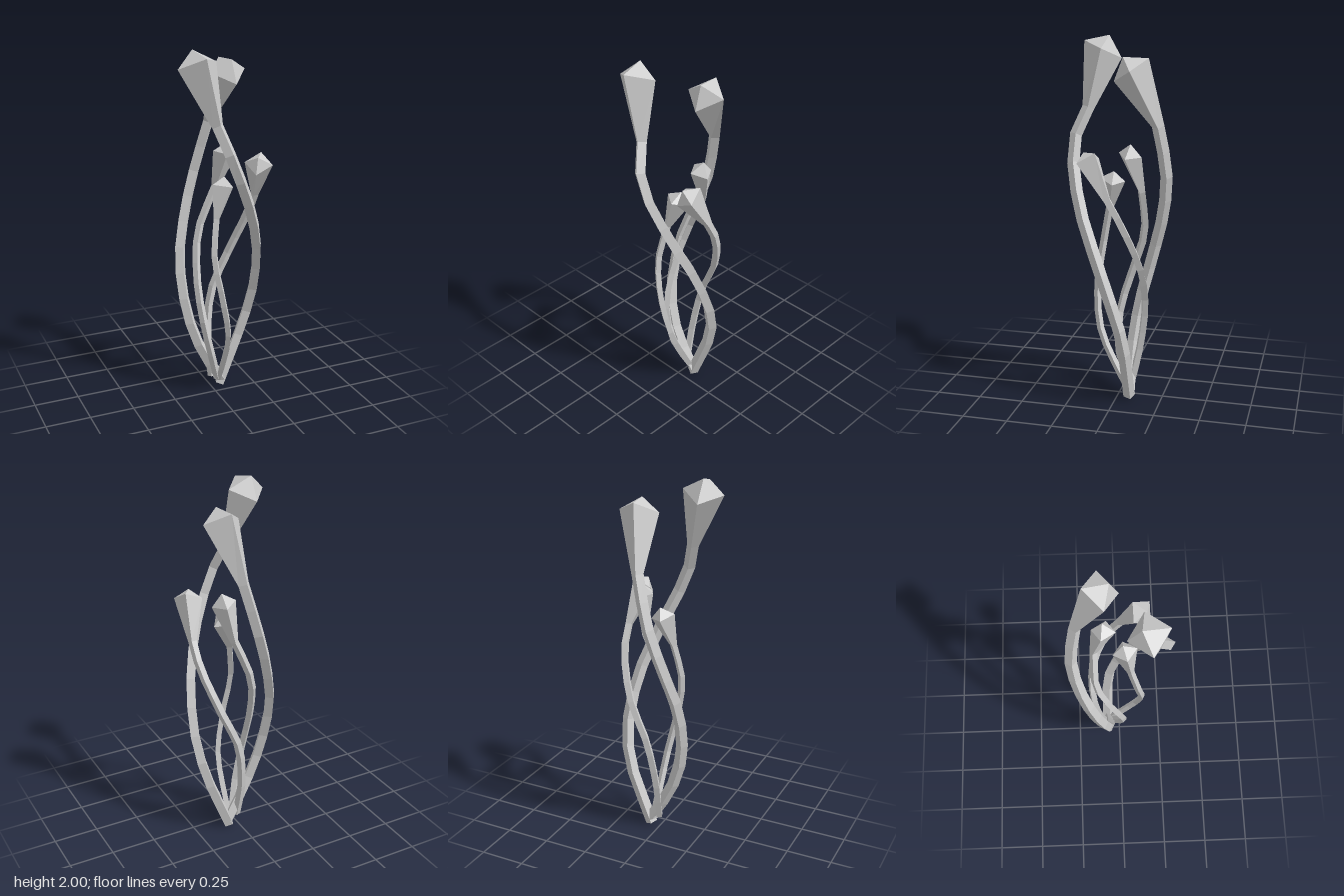
import * as THREE from 'three';

const V = (p) => new THREE.Vector3(...p);
const ROOT_Z = -0.07;

// Each stalk: root [x, y], stem points up to the bulb neck, bulb ring centre, bulb tip,
// compass angle of one bulb corner, stem and bulb radii.
const STALKS = [
  {
    name: 'tallFrontStalk', stem: 0.033, bulb: 0.112, heading: -0.1,
    center: [-0.155, 1.925, 0.128], tip: [-0.168, 2.0, 0.095], root: [0.055, 0.015],
    path: [[0.2, 0.4, -0.06], [0.232, 0.62, -0.005], [0.2, 0.9, 0.1],
      [0.115, 1.15, 0.2], [-0.01, 1.44, 0.254], [-0.07, 1.62, 0.19]],
  },
  {
    name: 'tallBackStalk', stem: 0.033, bulb: 0.108, heading: -0.15,
    center: [0.106, 1.845, -0.088], tip: [0.111, 1.91, -0.045], root: [0.065, 0.04],
    path: [[-0.06, 0.25, -0.06], [-0.14, 0.5, -0.085], [-0.15, 0.8, -0.16],
      [-0.09, 1.05, -0.225], [-0.02, 1.28, -0.254], [0.05, 1.55, -0.22]],
  },
  {
    name: 'leftStalk', stem: 0.023, bulb: 0.076, heading: 0.66,
    center: [0.195, 1.38, 0.122], tip: [0.178, 1.42, 0.15], root: [0.005, 0.07],
    path: [[0, 0.3, -0.12], [0.04, 0.57, -0.155], [0.14, 0.8, -0.145],
      [0.22, 1.05, -0.06], [0.228, 1.18, 0.01]],
  },
  {
    name: 'middleBackStalk', stem: 0.022, bulb: 0.066, heading: 0.2,
    center: [0.088, 1.4, -0.08], tip: [0.103, 1.46, -0.085], root: [0.04, 0.05],
    path: [[-0.03, 0.25, 0.01], [-0.08, 0.47, 0.015], [-0.09, 0.7, -0.05],
      [-0.05, 0.95, -0.13], [0.055, 1.2, -0.135]],
  },
  {
    name: 'shortStalk', stem: 0.02, bulb: 0.068, heading: -0.21,
    center: [0.03, 1.25, 0.03], tip: [0.042, 1.3, 0.02], root: [0.045, 0.04],
    path: [[0.045, 0.2, 0.015], [0.035, 0.4, 0.1], [-0.015, 0.65, 0.127],
      [-0.05, 0.87, 0.103], [-0.02, 1.08, 0.06]],
  },
];

// Square section swept along the stem, flaring into a bulb with a pyramid tip
function stalkGeometry({ root, path, center, tip, heading, stem, bulb }) {
  const STEPS = 11;
  const curve = new THREE.CatmullRomCurve3([[...root, ROOT_Z], ...path].map(V));
  const rings = [];
  for (let i = 0; i <= STEPS; i++) {
    rings.push({ p: curve.getPointAt(i / STEPS), t: curve.getTangentAt(i / STEPS), r: stem });
  }
  rings.push({ p: V(center), t: V(tip).sub(V(center)).normalize(), r: bulb });

  // carry the corner direction down from the bulb so the section does not twist
  const u = new THREE.Vector3(Math.cos(heading), 0, Math.sin(heading));
  for (let i = rings.length - 1; i >= 0; i--) {
    u.addScaledVector(rings[i].t, -u.dot(rings[i].t)).normalize();
    rings[i].u = u.clone();
  }

  const pos = [];
  const index = [];
  for (const { p, t, u: a, r } of rings) {
    const b = new THREE.Vector3().crossVectors(t, a);
    for (let k = 0; k < 4; k++) {
      const angle = (k * Math.PI) / 2;
      const c = p.clone().addScaledVector(a, r * Math.cos(angle)).addScaledVector(b, r * Math.sin(angle));
      pos.push(c.x, c.y, c.z);
    }
  }
  const last = (rings.length - 1) * 4;
  pos.push(...tip);
  for (let k = 0; k < 4; k++) {
    const n = (k + 1) % 4;
    for (let o = 0; o < last; o += 4) {
      index.push(o + k, o + n, o + 4 + n, o + k, o + 4 + n, o + 4 + k);
    }
    index.push(last + k, last + n, last + 4); // bulb tip
  }
  index.push(0, 2, 1, 0, 3, 2); // root cap

  const geometry = new THREE.BufferGeometry();
  geometry.setAttribute('position', new THREE.Float32BufferAttribute(pos, 3));
  geometry.setIndex(index);
  const flat = geometry.toNonIndexed();
  flat.computeVertexNormals();
  return flat;
}

export function createModel() {
  const group = new THREE.Group();
  group.name = 'twistedStalks';
  const material = new THREE.MeshStandardMaterial({ color: 0xcccccc, flatShading: true });
  for (const stalk of STALKS) {
    const mesh = new THREE.Mesh(stalkGeometry(stalk), material);
    mesh.name = stalk.name;
    group.add(mesh);
  }
  return group;
}
